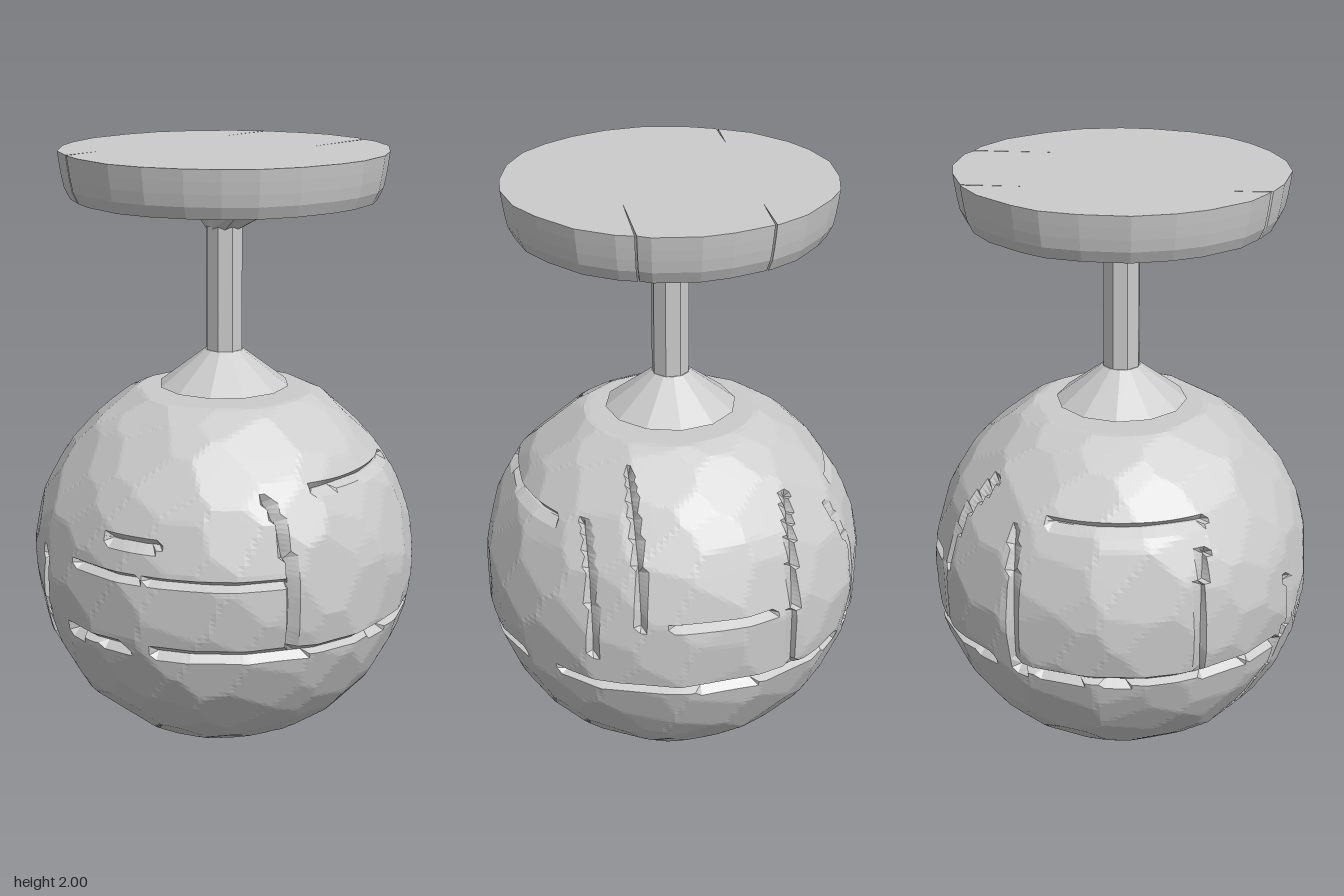
import * as THREE from 'three';

const material = new THREE.MeshStandardMaterial({ color: 0xcccccc, flatShading: true });
const sided = new THREE.MeshStandardMaterial({ color: 0xcccccc, flatShading: true, side: THREE.DoubleSide });

// Small seeded generator for the hewn irregularities
function makeRandom(seed) {
  return () => {
    seed = (seed * 16807) % 2147483647;
    return seed / 2147483647;
  };
}

function addPart(group, name, geometry, mat = material) {
  const flat = geometry.index ? geometry.toNonIndexed() : geometry;
  flat.computeVertexNormals();
  const mesh = new THREE.Mesh(flat, mat);
  mesh.name = name;
  group.add(mesh);
}

// Apply a rule to every vertex
function moveVertices(geometry, rule) {
  const pos = geometry.attributes.position;
  const p = new THREE.Vector3();
  for (let i = 0; i < pos.count; i++) {
    rule(p.fromBufferAttribute(pos, i));
    pos.setXYZ(i, p.x, p.y, p.z);
  }
  return geometry;
}

// Cracks in the ball: axis, position on it, then [min, max] on the two other axes in xyz order
const CRACKS = [
  // front
  ['y', 0.48, [-0.55, -0.3], [0, 1]], ['y', 0.48, [-0.12, 0.13], [0, 1]], ['y', 0.48, [0.22, 0.6], [0.2, 1]],
  ['y', 0.72, [-0.08, 0.18], [0, 1]], ['y', 0.72, [0.27, 0.56], [0.2, 1]],
  ['y', 0.83, [0.06, 0.23], [0, 1]],
  ['x', -0.27, [0.48, 0.72], [0, 1]], ['x', -0.29, [0.1, 0.48], [0, 1]],
  // right side
  ['y', 0.98, [0, 1], [-0.32, 0.16]], ['y', 0.48, [0, 1], [-0.32, 0.3]],
  ['y', 0.72, [0, 1], [0.35, 0.6]], ['z', 0.3, [0, 1], [0.48, 0.98]],
  // back
  ['y', 0.48, [-0.5, 0.45], [-1, 0]], ['y', 0.72, [-0.25, 0.1], [-1, 0]],
  ['x', -0.31, [0.48, 1.05], [-1, 0]], ['x', 0.19, [0.72, 1.15], [-1, 0]], ['x', 0.34, [0.6, 1.0], [-1, 0]],
  // left side
  ['y', 0.48, [-1, 0], [-0.3, 0.3]], ['y', 0.98, [-1, 0], [-0.2, 0.3]],
  ['z', -0.3, [-1, 0], [0.5, 0.95]], ['z', 0.3, [-1, 0], [0.48, 0.9]],
];

// Ball hewn by many near-tangent planes, then grooved along the cracks
function stoneBall() {
  const random = makeRandom(71);
  const centreY = 0.62;
  const planes = [[0, 1, 0, 0.578], [0, -1, 0, 0.615], [1, 0, 0, 0.638], [0, 0, 1, 0.645], [0, 0, -1, 0.645]]
    .map(([x, y, z, d]) => ({ n: new THREE.Vector3(x, y, z), d }));
  const count = 230;
  for (let i = 0; i < count; i++) {
    const y = 1 - (2 * (i + random())) / count;
    const a = i * 2.39996 + (random() - 0.5) * 0.25;
    const r = Math.sqrt(1 - y * y);
    planes.push({
      n: new THREE.Vector3(r * Math.cos(a), y, r * Math.sin(a)),
      d: 0.637 + random() * 0.012,
    });
  }
  const groove = 0.0105, depth = 0.03;
  return moveVertices(new THREE.SphereGeometry(1, 180, 120), (p) => {
    p.normalize();
    let radius = 1;
    for (const { n, d } of planes) {
      const c = n.dot(p);
      if (c > 0.5) radius = Math.min(radius, d / c);
    }
    const dir = p.clone();
    p.multiplyScalar(radius);
    p.y += centreY;
    for (const [axis, at, first, second] of CRACKS) {
      const [u, v] = ['x', 'y', 'z'].filter((k) => k !== axis);
      const inside = p[u] > first[0] && p[u] < first[1] && p[v] > second[0] && p[v] < second[1];
      if (inside && Math.abs(p[axis] - at) < groove) {
        p.addScaledVector(dir, -depth);
        p[axis] = at;
        break;
      }
    }
  });
}

// Tapered slab with an uneven rim and thin slits cut in from the edge
function topSlab() {
  const random = makeRandom(19);
  const rim = [];
  const sides = 26;
  for (let i = 0; i < sides; i++) {
    const a = ((i + 0.5 + (random() - 0.5) * 0.3) / sides) * Math.PI * 2;
    const r = 0.535 + random() * 0.01;
    rim.push({ a, points: [[r * Math.cos(a), r * Math.sin(a)]] });
  }
  // Slits: x position, inner end, side (+1 is the back in shape space)
  for (const [x, inner, side] of [[-0.24, 0.28, 1], [0.18, 0.22, 1], [-0.24, 0.32, -1]]) {
    const edge = side * Math.sqrt(0.535 ** 2 - x * x);
    const w = 0.003 * side;
    rim.push({
      a: (Math.atan2(edge, x) + Math.PI * 2) % (Math.PI * 2),
      points: [[x + w, edge], [x, side * inner], [x - w, edge]],
    });
  }
  rim.sort((p, q) => p.a - q.a);
  const outline = rim.flatMap((r) => r.points).map(([x, y]) => new THREE.Vector2(x, y));
  const height = 0.155;
  const slab = new THREE.ExtrudeGeometry(new THREE.Shape(outline), { depth: height, steps: 4, bevelEnabled: false });
  slab.rotateX(-Math.PI / 2);
  return moveVertices(slab, (p) => {
    const t = THREE.MathUtils.clamp(p.y / height, 0, 1);
    const scale = 0.93 + 0.07 * Math.sqrt(t);
    p.x = p.x * scale + 0.004;
    p.z *= scale;
    p.y = 1.845 + t * height;
  });
}

export function createModel() {
  const model = new THREE.Group();
  model.name = 'stonePedestal';

  addPart(model, 'stoneBall', stoneBall());

  // Conical foot, just clear of the ball
  addPart(model, 'stemFoot', new THREE.CylinderGeometry(0.063, 0.22, 0.12, 12).translate(0.002, 1.275, 0.002));

  // Octagonal stem
  addPart(model, 'stem', new THREE.CylinderGeometry(0.063, 0.063, 0.42, 8, 1, true)
    .rotateY(Math.PI / 8).translate(0.003, 1.54, 0.002));

  // Flare from the stem to an off-centre square under the slab
  const flare = moveVertices(new THREE.CylinderGeometry(0.135, 0.06, 0.105, 8), (p) => {
    if (p.y > 0) {
      const reach = Math.max(Math.abs(p.x), Math.abs(p.z));
      const k = reach > 0.001 ? 0.135 / reach : 1;
      p.x = p.x * k + 0.045;
      p.z = p.z * k - 0.045;
    }
    p.y += 1.7925;
  });
  addPart(model, 'stemFlare', flare);

  addPart(model, 'topSlab', topSlab(), sided);
  return model;
}
